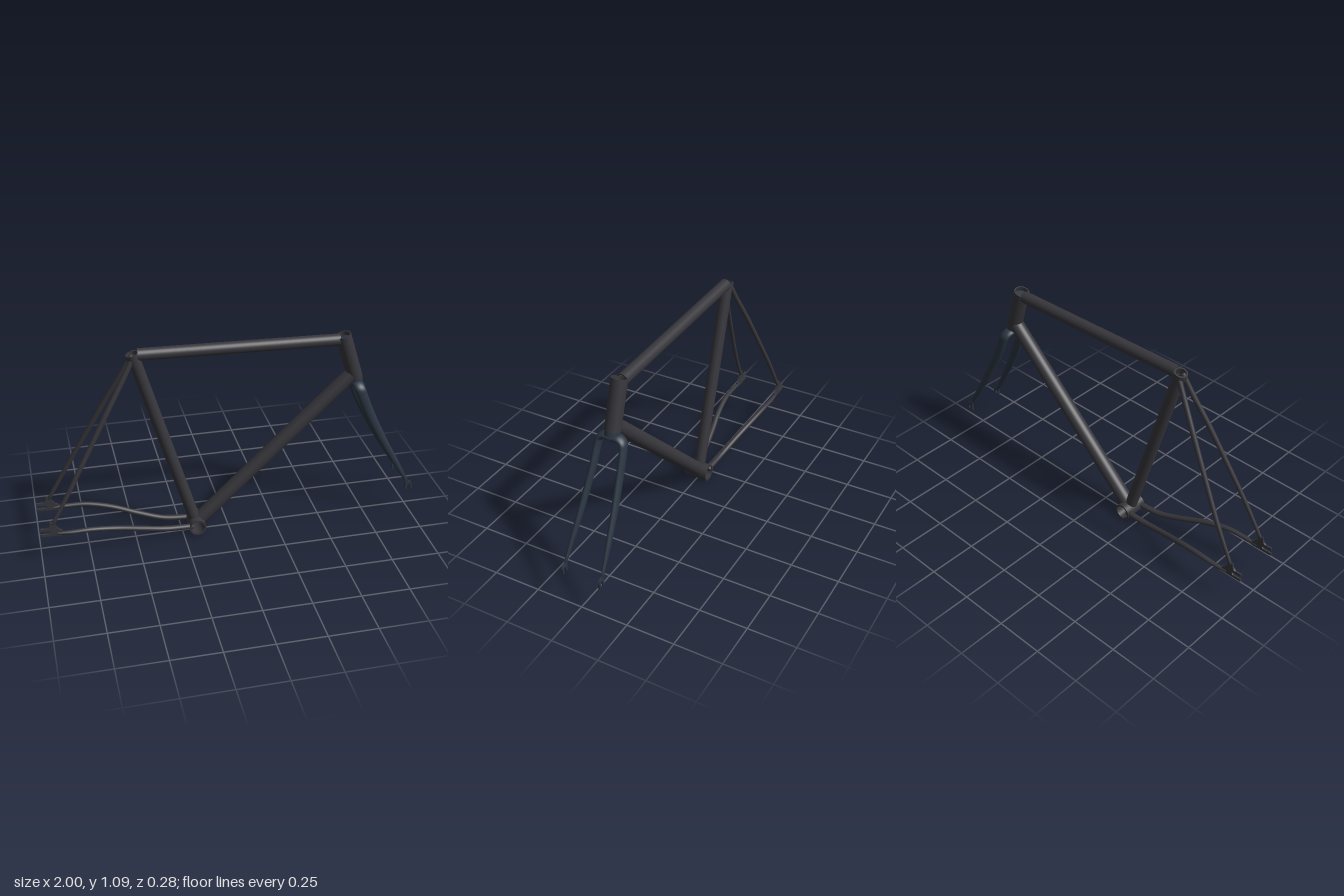
import * as THREE from 'three';

const frameMat = new THREE.MeshStandardMaterial({ color: 0x37373c, side: THREE.DoubleSide });
const forkMat = new THREE.MeshStandardMaterial({ color: 0x2b3642, side: THREE.DoubleSide });
const V = (p) => new THREE.Vector3(p[0], p[1], p[2] || 0);

function add(group, name, geometry, material) {
  const mesh = new THREE.Mesh(geometry, material);
  mesh.name = name;
  group.add(mesh);
  return mesh;
}

// Straight hollow tube from a to b; cope > 0 mitres its start around a cross cylinder of that radius
function tube(a, b, r, wall, cope = 0) {
  const from = V(a), dir = V(b).sub(from), len = dir.length();
  const ri = r - wall, up = new THREE.Vector3(0, 1, 0);
  // corner points are doubled so the rims stay sharp
  const corners = [[ri, 0], [r, 0], [r, len], [ri, len], [ri, 0]];
  const profile = [];
  corners.forEach(([x, y], i) => {
    profile.push(new THREE.Vector2(x, y));
    if (i > 0 && i < 4) profile.push(new THREE.Vector2(x, y));
  });
  const geo = new THREE.LatheGeometry(profile, 40);
  if (cope) {
    const p = geo.attributes.position;
    for (let i = 0; i < p.count; i++) {
      if (p.getY(i) < 1e-4) p.setY(i, Math.sqrt(Math.max(0, cope * cope - p.getX(i) ** 2)));
    }
  }
  geo.applyQuaternion(new THREE.Quaternion().setFromUnitVectors(up, dir.normalize()));
  return geo.translate(from.x, from.y, from.z);
}

// Curved tapering tube through stations [x, y, z, radius along ref, radius across]
function sweep(stations, ref, steps = 48, sides = 20) {
  const curve = new THREE.CatmullRomCurve3(stations.map(V));
  const pos = [], idx = [], last = stations.length - 1;
  for (let i = 0; i <= steps; i++) {
    const t = i / steps, c = curve.getPoint(t), tan = curve.getTangent(t);
    const u = ref.clone().addScaledVector(tan, -ref.dot(tan)).normalize();
    const v = tan.clone().cross(u);
    const k = Math.min(last - 1, Math.floor(t * last)), f = t * last - k;
    const ru = THREE.MathUtils.lerp(stations[k][3], stations[k + 1][3], f);
    const rv = THREE.MathUtils.lerp(stations[k][4], stations[k + 1][4], f);
    for (let j = 0; j < sides; j++) {
      const a = (j / sides) * Math.PI * 2;
      const q = c.clone().addScaledVector(u, Math.cos(a) * ru).addScaledVector(v, Math.sin(a) * rv);
      pos.push(q.x, q.y, q.z);
      if (i < steps) {
        const n = (j + 1) % sides, r0 = i * sides, r1 = r0 + sides;
        idx.push(r0 + j, r0 + n, r1 + j, r0 + n, r1 + n, r1 + j);
      }
    }
  }
  // end caps
  const centre = pos.length / 3, end = steps * sides;
  for (const t of [0, 1]) pos.push(...curve.getPoint(t).toArray());
  for (let j = 0; j < sides; j++) {
    const n = (j + 1) % sides;
    idx.push(centre, n, j, centre + 1, end + j, end + n);
  }
  const geo = new THREE.BufferGeometry();
  geo.setAttribute('position', new THREE.Float32BufferAttribute(pos, 3));
  geo.setIndex(idx);
  geo.computeVertexNormals();
  return geo;
}

// Flat plate cut from a side outline, centred on z
function plate(shape, thick, z) {
  return new THREE.ExtrudeGeometry(shape, { depth: thick, bevelEnabled: false, curveSegments: 12 })
    .translate(0, 0, z - thick / 2);
}

function rearDropoutShape() {
  const s = new THREE.Shape();
  s.moveTo(-0.885, 0.152);
  s.lineTo(-1, 0.155);
  s.lineTo(-1, 0.169);
  s.lineTo(-0.955, 0.167);
  s.absarc(-0.955, 0.176, 0.009, -Math.PI / 2, Math.PI / 2, false);
  s.lineTo(-1, 0.186);
  s.lineTo(-1, 0.201);
  s.lineTo(-0.965, 0.199);
  s.quadraticCurveTo(-0.947, 0.205, -0.947, 0.237);
  s.lineTo(-0.92, 0.23);
  s.quadraticCurveTo(-0.918, 0.195, -0.885, 0.18);
  return s;
}

function forkTipShape() {
  const s = new THREE.Shape();
  s.moveTo(0.955, 0.158);
  s.lineTo(0.966, 0.158);
  s.lineTo(0.966, 0.175);
  s.absarc(0.975, 0.176, 0.009, Math.PI, 0, true);
  s.lineTo(0.984, 0.158);
  s.lineTo(0.995, 0.158);
  s.lineTo(0.995, 0.18);
  s.quadraticCurveTo(0.994, 0.198, 0.972, 0.205);
  s.lineTo(0.962, 0.222);
  s.lineTo(0.948, 0.212);
  s.quadraticCurveTo(0.957, 0.195, 0.955, 0.178);
  return s;
}

export function createModel() {
  const model = new THREE.Group();
  model.name = 'bicycleFrame';
  const frame = new THREE.Group(), fork = new THREE.Group();
  frame.name = 'frame';
  fork.name = 'fork';
  model.add(frame, fork);
  const X = new THREE.Vector3(1, 0, 0), Y = new THREE.Vector3(0, 1, 0);

  // Main triangle
  const bb = [-0.177, 0.045], seatTop = [-0.475, 1.062];
  const headTop = [0.592, 1.056], headBottom = [0.667, 0.815];
  add(frame, 'bottomBracketShell', tube([...bb, -0.064], [...bb, 0.064], 0.045, 0.009), frameMat);
  add(frame, 'seatTube', tube(bb, seatTop, 0.031, 0.005, 0.042), frameMat);
  add(frame, 'downTube', tube(bb, [0.645, 0.832], 0.038, 0.005, 0.042), frameMat);
  add(frame, 'topTube', tube([-0.452, 1.057], [0.572, 1.032], 0.031, 0.005), frameMat);
  add(frame, 'headTube', tube(headBottom, headTop, 0.04, 0.007), frameMat);
  add(frame, 'seatCollar', tube([-0.465, 1.028], [-0.4755, 1.064], 0.034, 0.008), frameMat);

  // Fork steerer and crown race
  add(fork, 'steerer', new THREE.CylinderGeometry(0.034, 0.034, 0.23, 32), forkMat)
    .position.set(0.633, 0.925, 0);
  fork.children[0].rotation.z = Math.atan2(0.075, 0.241);
  add(fork, 'crownRace', tube(headBottom, [0.674, 0.792], 0.037, 0.03), forkMat);

  for (const s of [1, -1]) {
    const side = s > 0 ? 'Left' : 'Right';

    // Rear triangle
    add(frame, 'chainstay' + side, sweep([
      [-0.2, 0.05, s * 0.046, 0.014, 0.016],
      [-0.34, 0.06, s * 0.053, 0.014, 0.016],
      [-0.47, 0.094, s * 0.074, 0.014, 0.015],
      [-0.61, 0.137, s * 0.103, 0.013, 0.015],
      [-0.74, 0.161, s * 0.121, 0.012, 0.014],
      [-0.84, 0.163, s * 0.125, 0.011, 0.013],
      [-0.915, 0.163, s * 0.121, 0.009, 0.008],
    ], Y), frameMat);
    add(frame, 'seatstay' + side, sweep([
      [-0.474, 1.05, s * 0.016, 0.013, 0.012],
      [-0.53, 0.945, s * 0.031, 0.014, 0.013],
      [-0.61, 0.805, s * 0.055, 0.014, 0.013],
      [-0.72, 0.605, s * 0.083, 0.013, 0.012],
      [-0.83, 0.405, s * 0.108, 0.012, 0.011],
      [-0.932, 0.22, s * 0.121, 0.01, 0.008],
    ], X), frameMat);
    add(frame, 'rearDropout' + side, plate(rearDropoutShape(), 0.01, s * 0.121), frameMat);

    // Fork blade, curving out of the crown and down to the tip
    add(fork, 'forkBlade' + side, sweep([
      [0.675, 0.786, 0, 0.032, 0.018],
      [0.675, 0.786, s * 0.038, 0.031, 0.018],
      [0.68, 0.77, s * 0.061, 0.029, 0.017],
      [0.692, 0.735, s * 0.068, 0.027, 0.016],
      [0.73, 0.64, s * 0.073, 0.026, 0.016],
      [0.808, 0.48, s * 0.084, 0.022, 0.015],
      [0.888, 0.335, s * 0.094, 0.017, 0.012],
      [0.96, 0.208, s * 0.102, 0.01, 0.006],
    ], X, 64), forkMat);
    add(fork, 'forkTip' + side, plate(forkTipShape(), 0.01, s * 0.102), forkMat);
  }
  return model;
}
